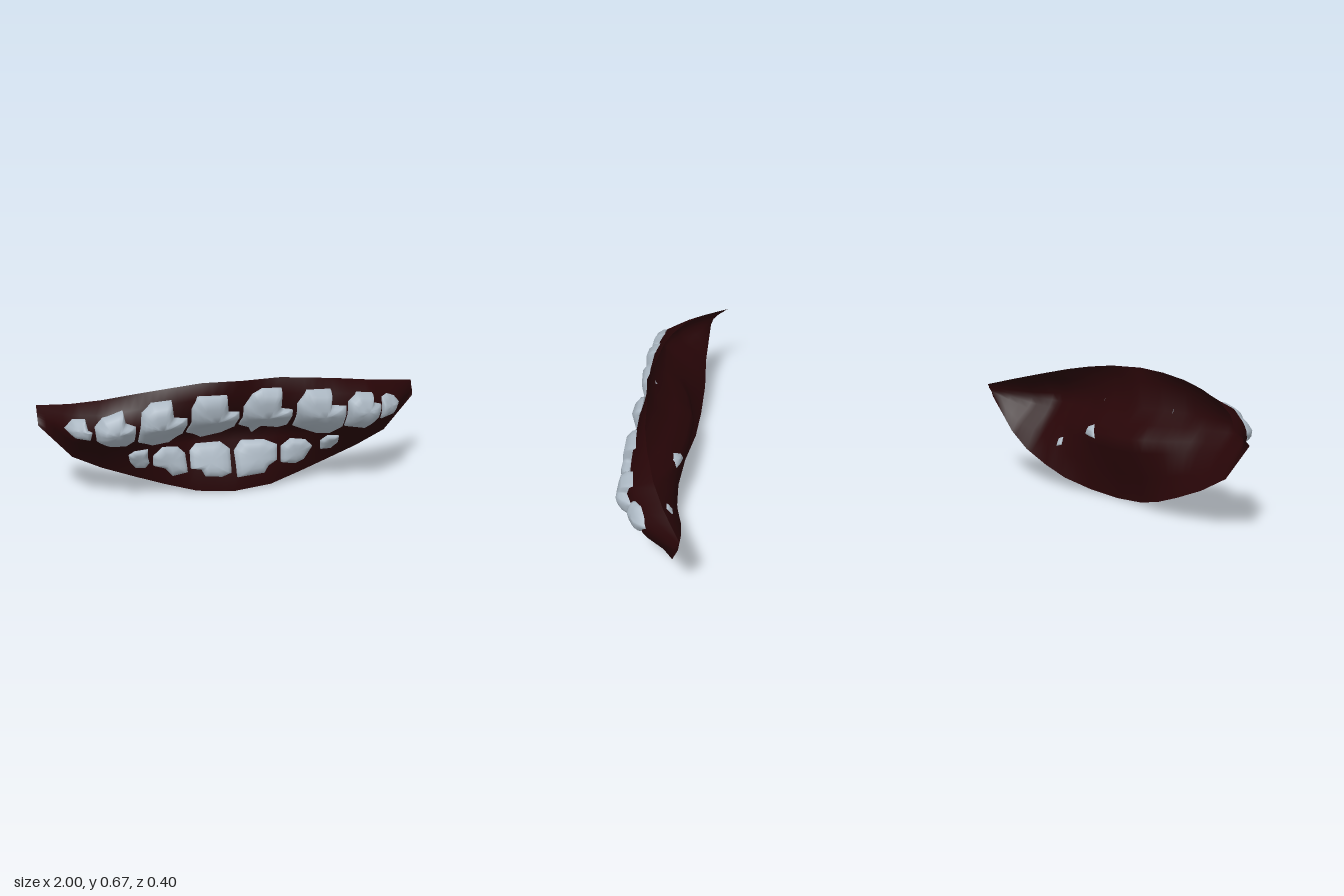
import * as THREE from 'three';

const gumRed = new THREE.MeshStandardMaterial({ color: 0x270507, side: THREE.DoubleSide });
gumRed.name = 'dark gum red';
const toothGrey = new THREE.MeshStandardMaterial({ color: 0xabb7c2, side: THREE.DoubleSide });
toothGrey.name = 'tooth grey';

// Cross-sections from the right corner to the left: x, lower edge y, upper edge y,
// and the depths from the lower to the upper edge at the heights in ROWS
const ROWS = [0, 0.2, 0.4, 0.5, 0.6, 0.7, 0.89, 1];
const SECTIONS = [
  { x: -1, lo: 0.43, hi: 0.505, z: [-0.105, -0.12, -0.14, -0.15, -0.16, -0.17, -0.185, -0.2] },
  { x: -0.84, lo: 0.25, hi: 0.547, z: [-0.09, -0.05, 0.01, 0.04, 0.05, 0.05, 0.01, -0.065] },
  { x: -0.69, lo: 0.17, hi: 0.583, z: [-0.1, -0.05, 0.03, 0.08, 0.12, 0.14, 0.115, 0.015] },
  { x: -0.52, lo: 0.105, hi: 0.62, z: [-0.095, -0.055, 0, 0.05, 0.1, 0.145, 0.135, 0.065] },
  { x: -0.37, lo: 0.055, hi: 0.645, z: [-0.08, -0.05, -0.05, -0.02, 0.07, 0.14, 0.145, 0.095] },
  { x: -0.2, lo: 0.015, hi: 0.665, z: [-0.04, -0.04, -0.085, -0.07, 0.01, 0.12, 0.145, 0.108] },
  { x: 0, lo: 0, hi: 0.67, z: [-0.025, -0.03, -0.08, -0.065, 0.01, 0.1, 0.13, 0.134] },
  { x: 0.2, lo: 0.015, hi: 0.665, z: [-0.04, -0.035, -0.055, -0.045, 0.03, 0.12, 0.145, 0.108] },
  { x: 0.37, lo: 0.055, hi: 0.645, z: [-0.08, -0.045, -0.03, 0.03, 0.1, 0.145, 0.145, 0.095] },
  { x: 0.52, lo: 0.105, hi: 0.62, z: [-0.095, -0.055, 0.03, 0.08, 0.12, 0.15, 0.14, 0.065] },
  { x: 0.69, lo: 0.17, hi: 0.583, z: [-0.1, -0.01, 0.075, 0.105, 0.13, 0.145, 0.12, 0.015] },
  { x: 0.84, lo: 0.25, hi: 0.547, z: [-0.09, -0.05, 0.02, 0.045, 0.055, 0.055, 0.015, -0.05] },
  { x: 1, lo: 0.43, hi: 0.505, z: [-0.105, -0.11, -0.115, -0.12, -0.125, -0.13, -0.135, -0.14] },
];
const { lerp, clamp } = THREE.MathUtils;

// Section between column i and i + 1
function blend(i, f) {
  const a = SECTIONS[i], b = SECTIONS[i + 1];
  return {
    x: lerp(a.x, b.x, f), lo: lerp(a.lo, b.lo, f), hi: lerp(a.hi, b.hi, f),
    z: a.z.map((z, r) => lerp(z, b.z[r], f)),
  };
}

// Depth of the gum sheet at any point of the front
function gumDepth(x, y) {
  let i = 0;
  while (i < SECTIONS.length - 2 && x > SECTIONS[i + 1].x) i++;
  const s = blend(i, (x - SECTIONS[i].x) / (SECTIONS[i + 1].x - SECTIONS[i].x));
  const t = clamp((y - s.lo) / (s.hi - s.lo), 0, 1);
  let r = 0;
  while (r < ROWS.length - 2 && t > ROWS[r + 1]) r++;
  return lerp(s.z[r], s.z[r + 1], (t - ROWS[r]) / (ROWS[r + 1] - ROWS[r]));
}

function smoothMesh(name, positions, index, material) {
  const geo = new THREE.BufferGeometry();
  geo.setAttribute('position', new THREE.Float32BufferAttribute(positions, 3));
  geo.setIndex(index);
  geo.computeVertexNormals();
  const mesh = new THREE.Mesh(geo, material);
  mesh.name = name;
  return mesh;
}

// Curved sheet behind the teeth, hollowed between the two rows
function gumSheet() {
  const STEPS = 4;
  const last = (SECTIONS.length - 1) * STEPS, n = ROWS.length;
  const pos = [], index = [];
  for (let c = 0; c <= last; c++) {
    const i = Math.min(Math.floor(c / STEPS), SECTIONS.length - 2);
    const s = blend(i, c / STEPS - i);
    ROWS.forEach((t, r) => {
      pos.push(s.x, lerp(s.lo, s.hi, t), s.z[r]);
      if (c < last && r < n - 1) {
        const a = c * n + r, b = a + n;
        index.push(a, b, b + 1, a, b + 1, a + 1);
      }
    });
  }
  return smoothMesh('gumSheet', pos, index, gumRed);
}

// Domed tooth: shrinking rings of a clockwise outline raised off the gum
function tooth(name, corners, height) {
  const outline = [], count = corners.length / 2, CUTS = 4;
  for (let i = 0; i < count; i++) {
    const j = (i + 1) % count;
    for (let k = 0; k < CUTS; k++) {
      outline.push([
        lerp(corners[2 * i], corners[2 * j], k / CUTS),
        lerp(corners[2 * i + 1], corners[2 * j + 1], k / CUTS),
      ]);
    }
  }
  const n = outline.length;
  const cx = outline.reduce((sum, p) => sum + p[0], 0) / n;
  const cy = outline.reduce((sum, p) => sum + p[1], 0) / n;
  const rings = [[1, 0.12], [0.97, 0.5], [0.8, 0.85], [0.55, 0.97], [0.28, 1]];
  const pos = [], index = [];
  rings.forEach(([scale, lift], k) => {
    outline.forEach(([px, py], i) => {
      const x = lerp(cx, px, scale), y = lerp(cy, py, scale);
      pos.push(x, y, gumDepth(x, y) + lift * height);
      const a = k * n + i, b = k * n + (i + 1) % n;
      if (k < rings.length - 1) index.push(a, b, a + n, b, b + n, a + n);
      else index.push(a, b, rings.length * n);
    });
  });
  pos.push(cx, cy, gumDepth(cx, cy) + height);
  // Outlines run clockwise, so turn each face to the front
  return smoothMesh(name, pos, index.reverse(), toothGrey);
}

// Tooth outlines as x, y pairs
const UPPER = [
  [-0.74, 0.48, -0.7, 0.53, -0.6, 0.56, -0.59, 0.5, -0.54, 0.48, -0.54, 0.38, -0.58, 0.34, -0.66, 0.35, -0.73, 0.4],
  [-0.52, 0.45, -0.51, 0.55, -0.46, 0.59, -0.36, 0.6, -0.35, 0.51, -0.28, 0.5, -0.28, 0.36, -0.35, 0.31, -0.44, 0.31, -0.52, 0.36],
  [-0.26, 0.55, -0.23, 0.61, -0.08, 0.605, -0.07, 0.51, -0.01, 0.5, -0.01, 0.38, -0.07, 0.33, -0.18, 0.31, -0.26, 0.36],
  [0.01, 0.53, 0.05, 0.6, 0.1, 0.625, 0.2, 0.62, 0.2, 0.51, 0.26, 0.5, 0.26, 0.38, 0.22, 0.35, 0.12, 0.37, 0.09, 0.32, 0.07, 0.36, 0.01, 0.39],
  [0.28, 0.53, 0.33, 0.6, 0.46, 0.59, 0.46, 0.51, 0.54, 0.5, 0.54, 0.37, 0.49, 0.31, 0.42, 0.31, 0.29, 0.37],
  [0.55, 0.52, 0.6, 0.56, 0.69, 0.545, 0.69, 0.5, 0.74, 0.48, 0.73, 0.41, 0.66, 0.345, 0.55, 0.37],
];
const CORNER = [
  [-0.88, 0.45, -0.84, 0.5, -0.78, 0.51, -0.77, 0.46, -0.75, 0.45, -0.76, 0.4, -0.83, 0.41],
  [0.75, 0.51, 0.79, 0.515, 0.84, 0.49, 0.87, 0.455, 0.83, 0.4, 0.75, 0.39],
];
const LOWER = [
  [-0.56, 0.26, -0.53, 0.285, -0.46, 0.285, -0.46, 0.24, -0.45, 0.2, -0.47, 0.17, -0.52, 0.17, -0.55, 0.21],
  [-0.43, 0.24, -0.38, 0.28, -0.3, 0.27, -0.26, 0.23, -0.25, 0.13, -0.33, 0.11, -0.37, 0.16, -0.43, 0.18],
  [-0.235, 0.24, -0.2, 0.27, -0.07, 0.27, -0.02, 0.23, -0.02, 0.11, -0.07, 0.09, -0.16, 0.1, -0.18, 0.14, -0.235, 0.15],
  [0, 0.22, 0.04, 0.27, 0.16, 0.27, 0.23, 0.24, 0.23, 0.16, 0.18, 0.13, 0.16, 0.09, 0.01, 0.08],
  [0.25, 0.23, 0.3, 0.27, 0.38, 0.26, 0.42, 0.22, 0.38, 0.14, 0.33, 0.12, 0.25, 0.14],
  [0.46, 0.25, 0.49, 0.285, 0.55, 0.285, 0.56, 0.23, 0.53, 0.185, 0.47, 0.19],
];
// Small tooth roots showing through the back
const ROOTS = [
  [0.14, 0.3, 0.16, 0.34, 0.19, 0.365, 0.23, 0.35, 0.24, 0.31],
  [0.45, 0.22, 0.46, 0.26, 0.49, 0.25, 0.48, 0.21],
];

export function createModel() {
  const model = new THREE.Group();
  model.name = 'mouth';
  model.add(gumSheet());
  const addRow = (name, outlines, height) => {
    const row = new THREE.Group();
    row.name = name + 'Row';
    outlines.forEach((o, i) => row.add(tooth(name + (i + 1), o, height)));
    model.add(row);
  };
  addRow('upperTooth', UPPER, 0.05);
  addRow('cornerTooth', CORNER, 0.035);
  addRow('lowerTooth', LOWER, 0.035);
  addRow('toothRoot', ROOTS, -0.012);
  return model;
}
